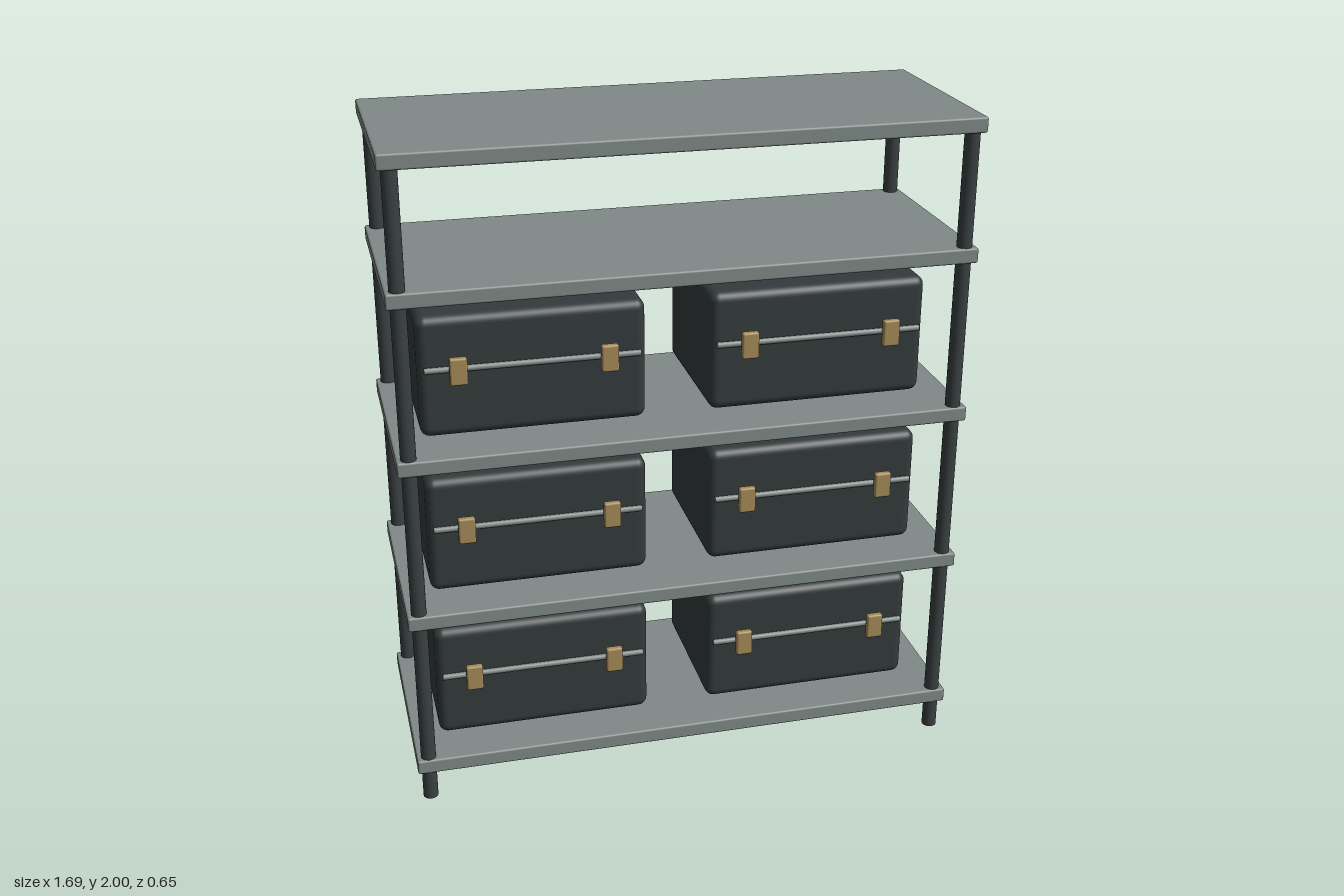
import * as THREE from 'three';
import { RoundedBoxGeometry } from 'three/addons/geometries/RoundedBoxGeometry.js';

const paint = (color) => new THREE.MeshStandardMaterial({ color });
const shelfPaint = paint(0x808a87);
const postPaint = paint(0x3a4042);
const casePaint = paint(0x343b3c);
const brass = paint(0xa58a58);

function add(parent, name, geometry, material, x, y, z) {
  const mesh = new THREE.Mesh(geometry, material);
  mesh.name = name;
  mesh.position.set(x, y, z);
  parent.add(mesh);
  return mesh;
}

// Storage case with a front rail and two clasps
const caseGeometry = new RoundedBoxGeometry(0.65, 0.36, 0.475, 4, 0.028);
const railGeometry = new THREE.CylinderGeometry(0.009, 0.009, 0.615, 16).rotateZ(Math.PI / 2);
const claspGeometry = new RoundedBoxGeometry(0.05, 0.08, 0.022, 2, 0.006);

function createCase() {
  const group = new THREE.Group();
  group.name = 'storageCase';
  add(group, 'caseBody', caseGeometry, casePaint, 0, 0, 0.003);
  add(group, 'caseRail', railGeometry, shelfPaint, 0, 0.027, 0.247);
  for (const x of [-0.214, 0.214]) add(group, 'caseClasp', claspGeometry, brass, x, 0.027, 0.266);
  return group;
}

export function createModel() {
  const model = new THREE.Group();
  model.name = 'shelvingUnit';

  // Corner posts
  const postGeometry = new THREE.CylinderGeometry(0.0225, 0.0225, 1.98, 24);
  for (const x of [-0.81, 0.81]) {
    for (const z of [-0.298, 0.298]) add(model, 'post', postGeometry, postPaint, x, 0.99, z);
  }

  // Shelves
  const shelfGeometry = new RoundedBoxGeometry(1.69, 0.045, 0.65, 2, 0.006);
  const shelfHeights = [0.117, 0.611, 1.104, 1.598, 1.9775];
  for (const y of shelfHeights) add(model, 'shelf', shelfGeometry, shelfPaint, 0, y, 0);

  // Two cases on each of the three lower shelves
  for (const y of shelfHeights.slice(0, 3)) {
    for (const x of [-0.44, 0.399]) {
      const storageCase = createCase();
      storageCase.position.set(x, y + 0.232, 0);
      model.add(storageCase);
    }
  }
  return model;
}
